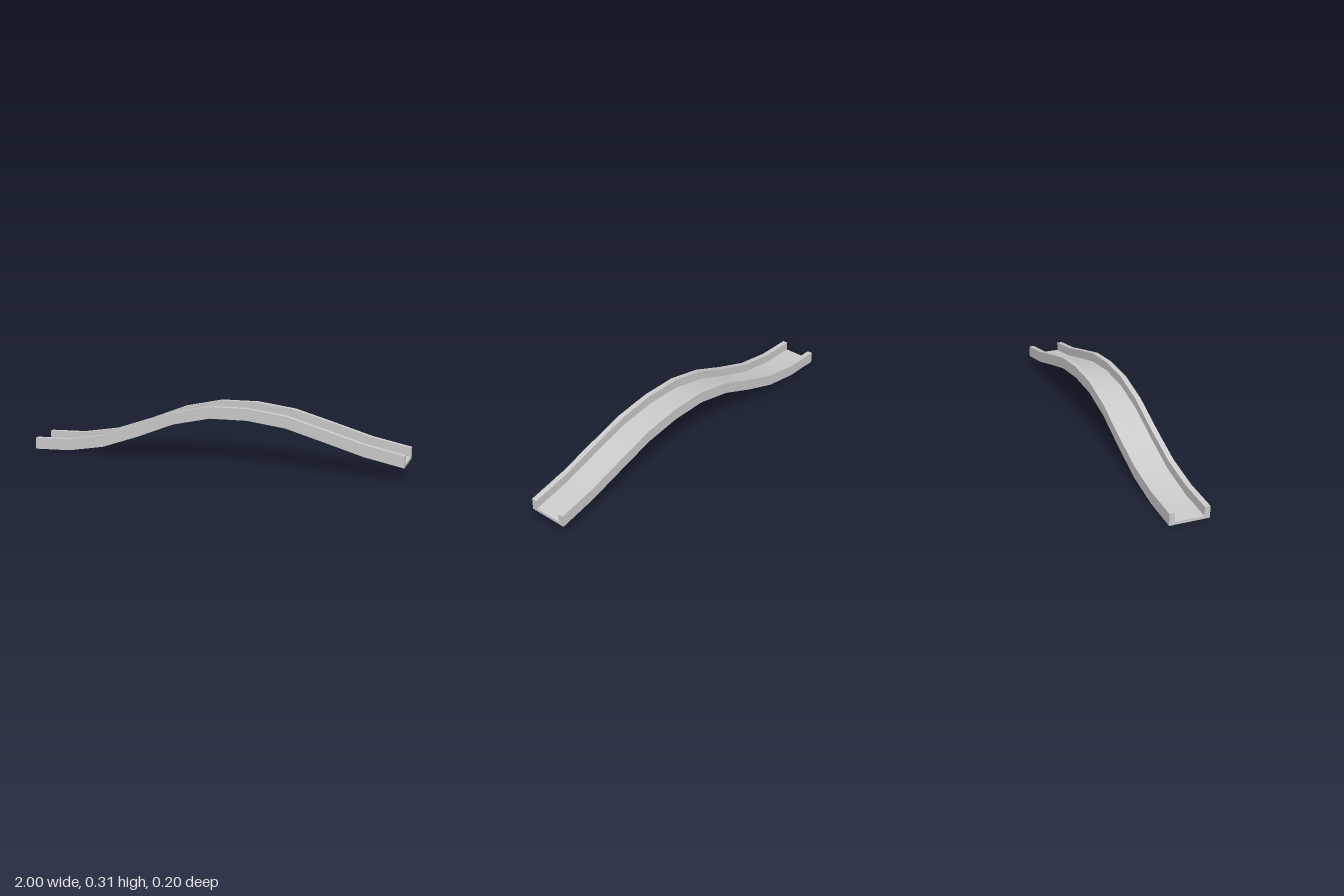
import * as THREE from 'three';
import { toCreasedNormals } from 'three/addons/utils/BufferGeometryUtils.js';

// Height of the underside at eleven even stations from x = -1 to x = 1
const heights = [0, 0.008, 0.044, 0.115, 0.196, 0.242, 0.246, 0.222, 0.167, 0.11, 0.071];

export function createModel() {
  const group = new THREE.Group();
  group.name = 'track';

  // U-shaped cross-section: floor with a raised wall on each side
  const outer = 0.101, inner = 0.073, wall = 0.061, floor = 0.0145;
  const section = new THREE.Shape([
    [-outer, 0], [outer, 0], [outer, wall], [inner, wall],
    [inner, floor], [-inner, floor], [-inner, wall], [-outer, wall],
  ].map(([x, y]) => new THREE.Vector2(x, y)));

  // Straight channel along x, one step per station
  const steps = heights.length - 1;
  const channel = new THREE.ExtrudeGeometry(section, { depth: 2, steps, bevelEnabled: false });
  channel.rotateY(Math.PI / 2).translate(-1, 0, 0);

  // Lift each station to follow the hill
  const pos = channel.attributes.position;
  for (let i = 0; i < pos.count; i++) {
    const station = Math.round((pos.getX(i) + 1) / 2 * steps);
    pos.setY(i, pos.getY(i) + heights[station]);
  }

  // Smooth along the length, sharp across the section
  const mesh = new THREE.Mesh(
    toCreasedNormals(channel, 0.6),
    new THREE.MeshStandardMaterial({ color: 0xcccccc }),
  );
  mesh.name = 'channel';
  group.add(mesh);
  return group;
}
